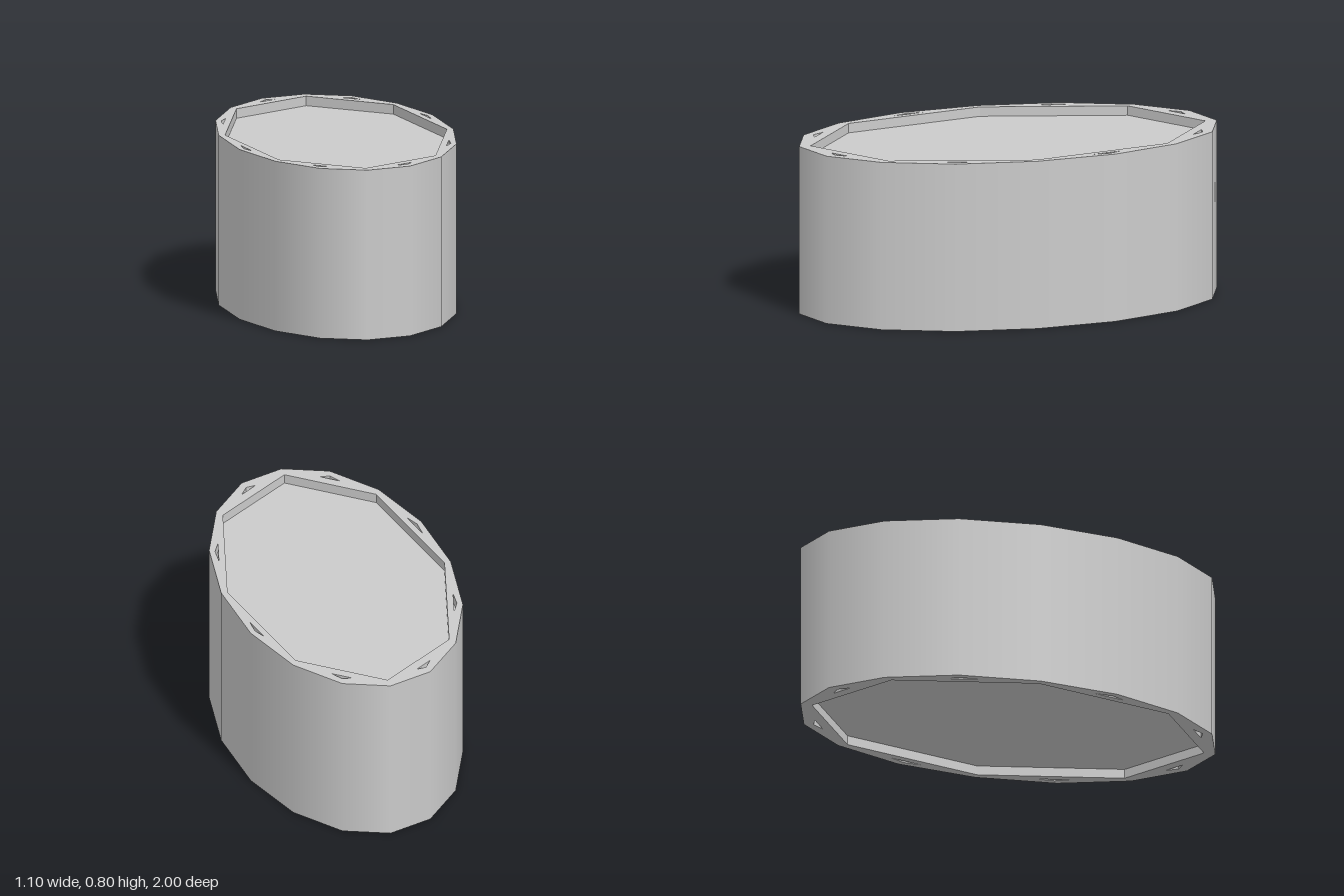
import * as THREE from 'three';

const HEIGHT = 0.8, HALF_WIDTH = 0.55, RECESS = 0.045;

// Point on the oval: r is the fraction of the full size, a the angle in degrees
const oval = (r, a) => {
  const t = THREE.MathUtils.degToRad(a);
  return new THREE.Vector2(HALF_WIDTH * r * Math.cos(t), r * Math.sin(t));
};
const ring = (r, n) => Array.from({ length: n }, (_, i) => oval(r, (i * 360) / n));

// Inward-facing walls of a pocket sunk below z = 0
function pocketWalls(points, depth) {
  const pos = [];
  points.forEach((a, i) => {
    const b = points[(i + 1) % points.length];
    pos.push(a.x, a.y, -depth, b.x, b.y, 0, b.x, b.y, -depth);
    pos.push(a.x, a.y, -depth, a.x, a.y, 0, b.x, b.y, 0);
  });
  const g = new THREE.BufferGeometry();
  g.setAttribute('position', new THREE.Float32BufferAttribute(pos, 3));
  g.computeVertexNormals();
  return g;
}

export function createModel() {
  const model = new THREE.Group();
  model.name = 'ovalDrum';
  const material = new THREE.MeshStandardMaterial({ color: 0xcccccc });
  const add = (parent, name, geometry) => {
    const mesh = new THREE.Mesh(geometry, material);
    mesh.name = name;
    parent.add(mesh);
    return mesh;
  };

  // Smooth sixteen-sided outer wall
  const wall = new THREE.CylinderGeometry(1, 1, HEIGHT, 16, 1, true);
  wall.scale(HALF_WIDTH, 1, 1);
  add(model, 'outerWall', wall).position.y = HEIGHT / 2;

  // Large octagonal recess, and a small three-cornered pocket beside each of its sides
  const pockets = [{ name: 'panel', points: ring(0.945, 8) }];
  for (let a = 22.5; a < 360; a += 45) {
    pockets.push({
      name: 'rimPocket',
      points: [oval(0.93, a - 5), oval(0.953, a), oval(0.93, a + 5)],
    });
  }

  // The same recessed end closes the top and the bottom
  for (const [name, side] of [['topEnd', 1], ['bottomEnd', -1]]) {
    const end = new THREE.Group();
    end.name = name;
    const rim = new THREE.Shape(ring(1, 16));
    for (const p of pockets) {
      rim.holes.push(new THREE.Path(p.points));
      add(end, p.name + 'Walls', pocketWalls(p.points, RECESS));
      add(end, p.name + 'Floor', new THREE.ShapeGeometry(new THREE.Shape(p.points))).position.z = -RECESS;
    }
    add(end, 'rim', new THREE.ShapeGeometry(rim));
    end.rotation.x = (-side * Math.PI) / 2;
    end.position.y = side > 0 ? HEIGHT : 0;
    model.add(end);
  }
  return model;
}
